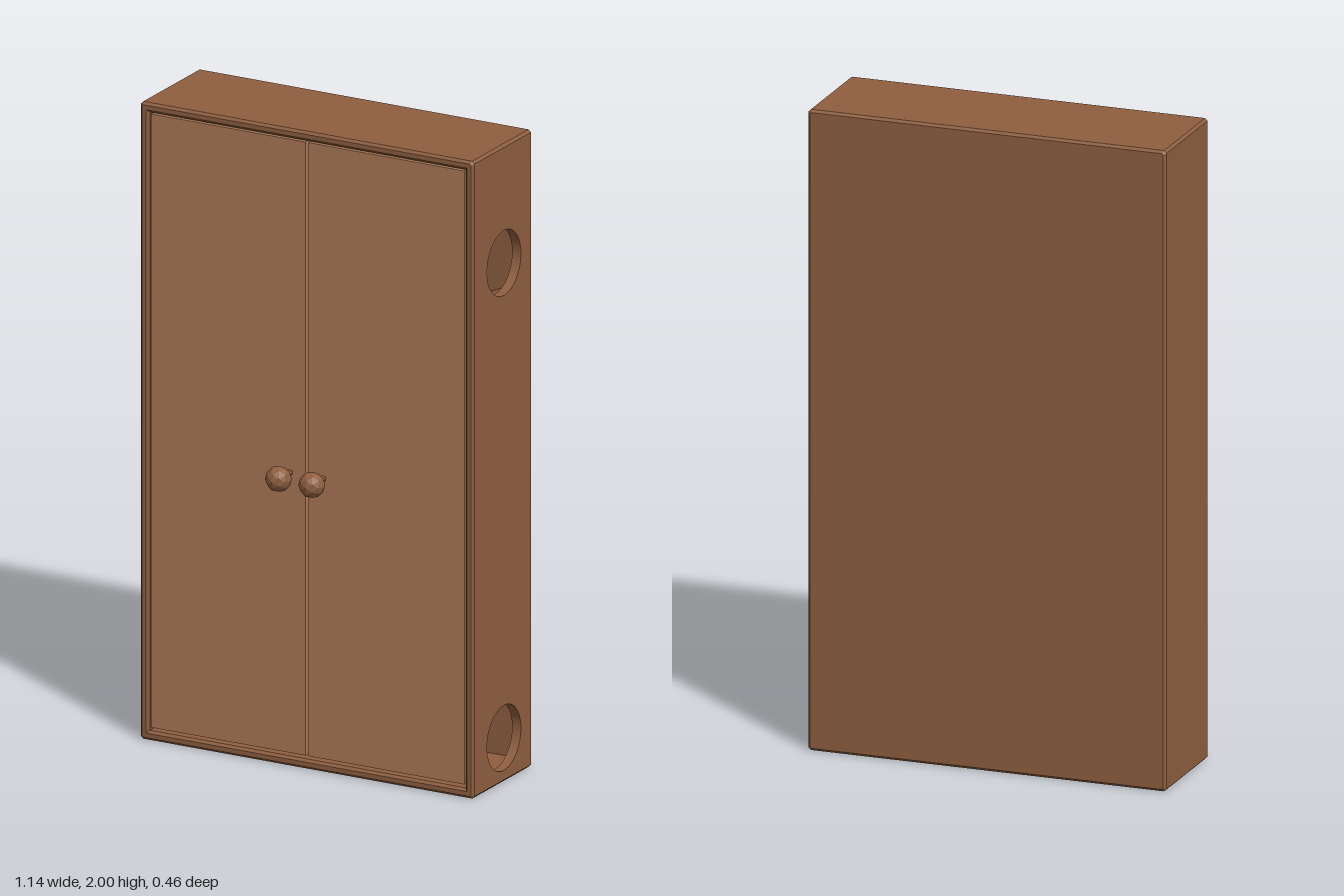
import * as THREE from 'three';

const W = 0.57, H = 2, BACK = -0.23, FRONT = 0.125; // outer size
const T = 0.03, C = 0.008;                          // wall thickness, edge chamfer
const HOLE_Z = -0.06, HOLE_R = 0.102, HOLE_Y = [0.14, 1.63];

export function createModel() {
  const model = new THREE.Group();
  const wood = new THREE.MeshStandardMaterial({ color: 0x8f5f40, flatShading: true });
  const doorWood = new THREE.MeshStandardMaterial({ color: 0xad7a58, flatShading: true });
  const lining = new THREE.MeshStandardMaterial({ color: 0x8f5f40, side: THREE.BackSide });

  const add = (name, geometry, material, x = 0, y = 0, z = 0, parent = model) => {
    const mesh = new THREE.Mesh(geometry, material);
    mesh.name = name;
    mesh.position.set(x, y, z);
    parent.add(mesh);
    return mesh;
  };

  // Chamfered frame; its flat +x faces are left out for the pierced wall
  const outline = new THREE.Shape([
    [-W + C, 0], [W - C, 0], [W, C], [W, H - C], [W - C, H], [-W + C, H], [-W, H - C], [-W, C],
  ].map(([x, y]) => new THREE.Vector2(x, y)));
  const w = W - T;
  outline.holes.push(new THREE.Path([
    [-w, T], [-w, H - T], [w, H - T], [w, T],
  ].map(([x, y]) => new THREE.Vector2(x, y))));
  const ring = new THREE.ExtrudeGeometry(outline, {
    depth: FRONT - BACK - 2 * C, bevelThickness: C, bevelSize: C, bevelOffset: -C, bevelSegments: 1,
  });
  ring.translate(0, 0, BACK + C);
  const p = ring.getAttribute('position');
  const kept = [];
  for (let i = 0; i < p.count; i += 3) {
    const xs = [p.getX(i), p.getX(i + 1), p.getX(i + 2)];
    const flatRight = Math.min(...xs) > 0.5 && Math.max(...xs) - Math.min(...xs) < 1e-5;
    if (flatRight) continue;
    for (let k = i; k < i + 3; k++) kept.push(p.getX(k), p.getY(k), p.getZ(k));
  }
  const frame = new THREE.BufferGeometry();
  frame.setAttribute('position', new THREE.Float32BufferAttribute(kept, 3));
  frame.computeVertexNormals();
  add('frame', frame, wood);

  // Pierced side wall: an outer and an inner skin joined by round linings
  const skin = (y0, y1) => {
    const [z0, z1] = [BACK + C, FRONT - C];
    // Shape x runs along -z
    const s = new THREE.Shape([[-z1, y0], [-z0, y0], [-z0, y1], [-z1, y1]].map(([a, b]) => new THREE.Vector2(a, b)));
    for (const y of HOLE_Y) {
      s.holes.push(new THREE.Path().absarc(-HOLE_Z, y, HOLE_R, 0, Math.PI * 2, true));
    }
    return new THREE.ShapeGeometry(s, 24).rotateY(Math.PI / 2);
  };
  const inside = new THREE.MeshStandardMaterial({ color: 0x8f5f40, side: THREE.BackSide });
  add('sideWallOuter', skin(C, H - C), wood, W);
  add('sideWallInner', skin(T, H - T), inside, w);
  for (const y of HOLE_Y) {
    const tube = new THREE.CylinderGeometry(HOLE_R, HOLE_R, T, 48, 1, true).rotateZ(Math.PI / 2);
    add('holeLining', tube, lining, W - T / 2, y, HOLE_Z);
  }

  // Back panel
  add('backPanel', new THREE.BoxGeometry(2 * (w + C), H - 2 * (T - C), T), wood, 0, H / 2, BACK + T / 2);

  // Zigzag ramps leading from the upper hole down to the floor
  const ramps = [[1.51, 1.02], [0.52, 1.01], [0.51, 0.09]]; // height at +x, at -x
  for (const [yRight, yLeft] of ramps) {
    const t = 0.012;
    const side = new THREE.Shape([
      [-w, yLeft], [w, yRight], [w, yRight + t], [-w, yLeft + t],
    ].map(([x, y]) => new THREE.Vector2(x, y)));
    const depth = FRONT - BACK - T - 0.04;
    add('ramp', new THREE.ExtrudeGeometry(side, { depth, bevelEnabled: false }), wood, 0, 0, BACK + T);
  }

  // Pair of doors, each with a faceted knob on a short stem
  const MID = -0.003;
  for (const s of [-1, 1]) {
    const door = new THREE.Group();
    door.name = s < 0 ? 'rightDoor' : 'leftDoor';
    const x0 = MID + s * 0.005, x1 = s * 0.536;
    add('doorPanel', new THREE.BoxGeometry(Math.abs(x1 - x0), 1.925, 0.025), doorWood,
      (x0 + x1) / 2, 1.0025, 0.1055, door);
    const kx = MID + s * 0.057;
    add('knobStem', new THREE.CylinderGeometry(0.009, 0.009, 0.06, 8).rotateX(Math.PI / 2), wood, kx, 0.92, 0.14, door);
    add('knob', new THREE.IcosahedronGeometry(0.04, 1), wood, kx, 0.92, 0.188, door);
    model.add(door);
  }
  return model;
}
